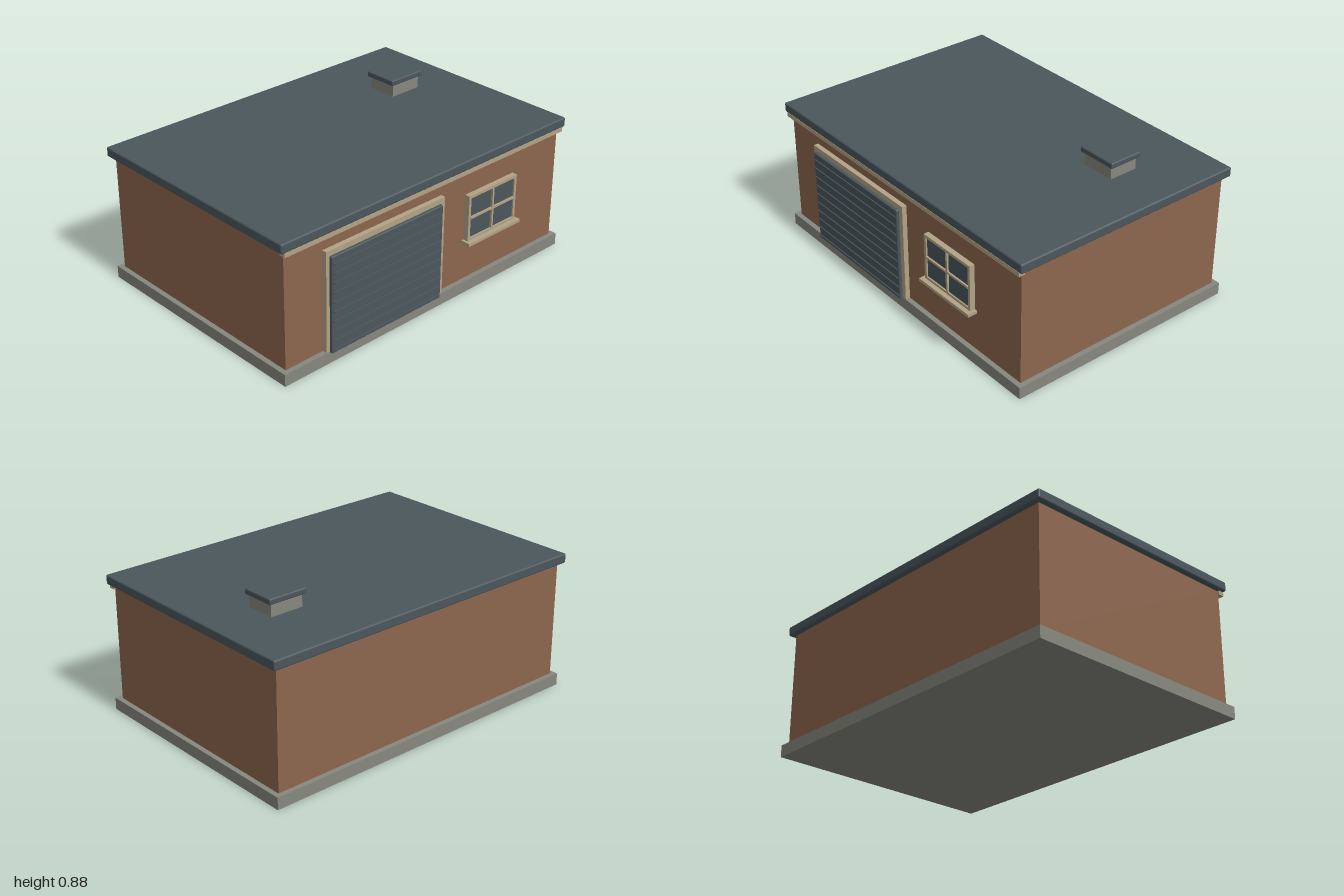
import * as THREE from 'three';
import { RoundedBoxGeometry } from 'three/addons/geometries/RoundedBoxGeometry.js';

const material = (name, color) => Object.assign(new THREE.MeshStandardMaterial({ color }), { name });

export function createModel() {
  const brick = material('brick', 0x8d664e);
  const slate = material('slate', 0x4b575c);
  const concrete = material('concrete', 0x86877d);
  const trim = material('trim', 0xb2a385);

  const model = new THREE.Group();
  model.name = 'garage';

  // Box given by its limits on each axis; a bevel softens the edges
  const box = (parent, name, mat, [x0, x1], [y0, y1], [z0, z1], bevel = 0) => {
    const size = [x1 - x0, y1 - y0, z1 - z0];
    const geometry = bevel
      ? new RoundedBoxGeometry(...size, 2, bevel)
      : new THREE.BoxGeometry(...size);
    const mesh = new THREE.Mesh(geometry, mat);
    mesh.name = name;
    mesh.position.set((x0 + x1) / 2, (y0 + y1) / 2, (z0 + z1) / 2);
    parent.add(mesh);
    return mesh;
  };
  const group = (name) => {
    const g = new THREE.Group();
    g.name = name;
    model.add(g);
    return g;
  };

  // Main shell
  box(model, 'foundation', concrete, [-0.995, 0.995], [0, 0.067], [-0.697, 0.67]);
  box(model, 'walls', brick, [-0.967, 0.967], [0.067, 0.73], [-0.669, 0.642]);
  box(model, 'roof', slate, [-1, 1], [0.723, 0.777], [-0.699, 0.671], 0.009);
  box(model, 'frontFascia', trim, [-0.98, 0.98], [0.7, 0.724], [0.633, 0.669]);

  // Roof vent
  const vent = group('roofVent');
  box(vent, 'ventStack', concrete, [0.512, 0.707], [0.77, 0.85], [-0.314, -0.147]);
  box(vent, 'ventCap', slate, [0.494, 0.725], [0.847, 0.879], [-0.329, -0.133], 0.007);

  // Roller door with its surround and ribs
  const door = group('garageDoor');
  box(door, 'doorJambRight', trim, [-0.728, -0.698], [0.067, 0.631], [0.64, 0.669]);
  box(door, 'doorJambLeft', trim, [0.045, 0.075], [0.067, 0.631], [0.64, 0.669]);
  box(door, 'doorLintel', trim, [-0.698, 0.045], [0.601, 0.631], [0.64, 0.669]);
  box(door, 'doorPanel', slate, [-0.707, 0.047], [0.06, 0.602], [0.664, 0.686], 0.006);
  for (let i = 0; i < 10; i++) {
    const y = 0.081 + i * 0.0534;
    box(door, 'doorRib', slate, [-0.697, 0.037], [y - 0.004, y + 0.004], [0.684, 0.692]);
  }

  // Four-pane window
  const win = group('window');
  box(win, 'glass', slate, [0.26, 0.617], [0.305, 0.563], [0.64, 0.664]);
  for (const x of [0.264, 0.613]) {
    box(win, 'windowStile', trim, [x - 0.008, x + 0.008], [0.303, 0.567], [0.64, 0.672]);
  }
  for (const y of [0.311, 0.559]) {
    box(win, 'windowRail', trim, [0.272, 0.605], [y - 0.008, y + 0.008], [0.64, 0.672]);
  }
  box(win, 'mullion', trim, [0.433, 0.445], [0.319, 0.551], [0.66, 0.675]);
  box(win, 'crossbar', trim, [0.272, 0.605], [0.43, 0.442], [0.66, 0.674]);
  box(win, 'windowSill', trim, [0.24, 0.637], [0.288, 0.305], [0.64, 0.698]);

  return model;
}
